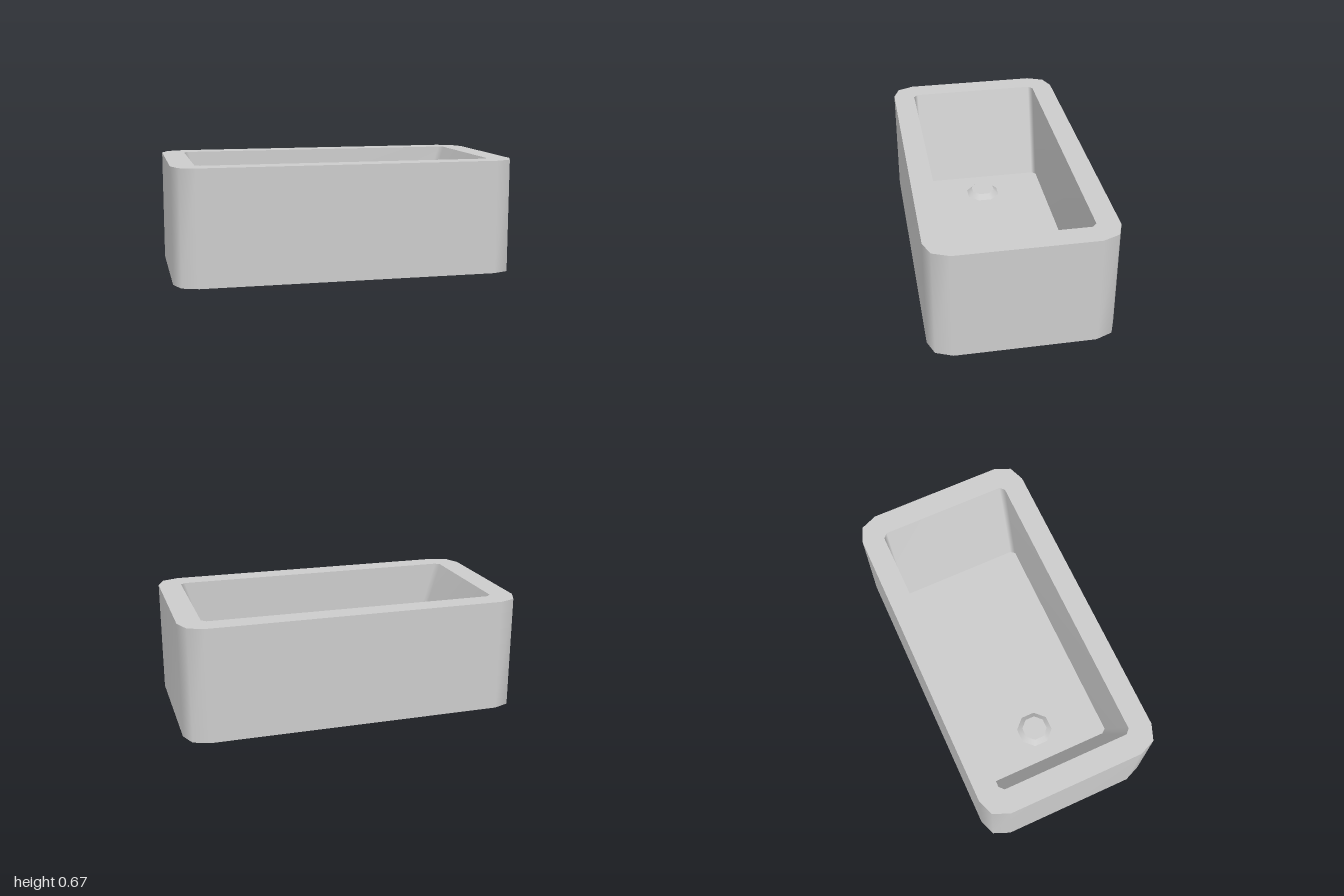
import * as THREE from 'three';

// Mirrors the points of one corner (from the +x side towards the +z side) into a closed loop
function loopFromCorner(corner) {
  const flip = [...corner].reverse();
  return [
    ...corner,
    ...flip.map(([x, y]) => [-x, y]),
    ...corner.map(([x, y]) => [-x, -y]),
    ...flip.map(([x, y]) => [x, -y]),
  ].map(([x, y]) => new THREE.Vector2(x, y));
}

// Smooth band joining two loops at different heights
function band(lower, y0, upper, y1) {
  const n = lower.length, pos = [], idx = [];
  lower.forEach((p) => pos.push(p.x, y0, -p.y));
  upper.forEach((p) => pos.push(p.x, y1, -p.y));
  for (let i = 0; i < n; i++) {
    const j = (i + 1) % n;
    idx.push(i, j, n + j, i, n + j, n + i);
  }
  const g = new THREE.BufferGeometry();
  g.setAttribute('position', new THREE.Float32BufferAttribute(pos, 3));
  g.setIndex(idx);
  g.computeVertexNormals();
  return g;
}

// Flat face inside a loop, facing up (or down), with an optional hole
function cap(loop, y, { hole = null, down = false } = {}) {
  const shape = new THREE.Shape(loop);
  if (hole) shape.holes.push(new THREE.Path(hole));
  return new THREE.ShapeGeometry(shape)
    .rotateX(down ? Math.PI / 2 : -Math.PI / 2)
    .translate(0, y, 0);
}

export function createModel() {
  const model = new THREE.Group();
  model.name = 'tub';
  const grey = new THREE.MeshStandardMaterial({ color: 0xcccccc });
  grey.name = 'grey';

  const top = 0.667, floorY = 0.09;
  const outer = loopFromCorner([[1, 0.4], [0.96, 0.497], [0.867, 0.533]]);
  const rim = loopFromCorner([[0.865, 0.377], [0.838, 0.403]]);
  const floor = loopFromCorner([[0.69, 0.377], [0.67, 0.403]]);

  const add = (name, geometry) => {
    const mesh = new THREE.Mesh(geometry, grey);
    mesh.name = name;
    model.add(mesh);
    return mesh;
  };

  // Outer shell
  add('outerWall', band(outer, 0, outer, top));
  add('base', cap(outer, 0, { down: true }));
  add('rim', cap(outer, top, { hole: rim }));

  // Basin with sloping ends
  add('basinWall', band(rim, top, floor, floorY));
  add('basinFloor', cap(floor, floorY));

  // Eight-sided drain plug with flats facing the walls
  const k = 1 / Math.cos(Math.PI / 8);
  const plug = new THREE.CylinderGeometry(0.07 * k, 0.1 * k, 0.03, 8);
  plug.rotateY(Math.PI / 8);
  add('drainPlug', plug).position.set(-0.49, floorY + 0.015, 0);

  return model;
}
